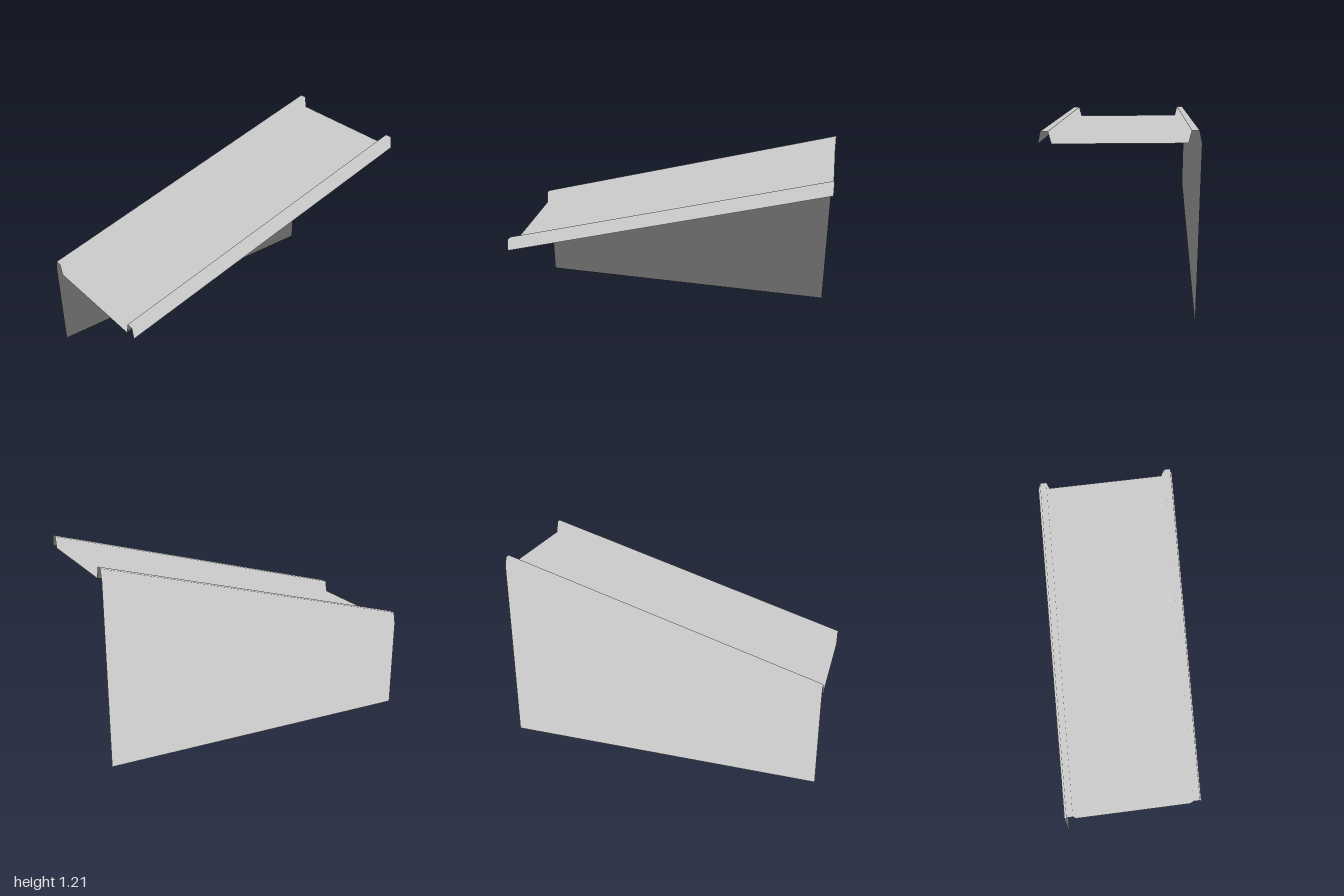
import * as THREE from 'three';

// Back end of the sheet is shifted sideways and raised relative to the front end.
const FRONT_Z = 1, BACK_Z = -1, SHIFT_X = 0.084, RISE = 0.571;
const EAVE = 0.573, CREST = 0.643;

// Sweeps an open cross-section [x, y] from front to back as a thin folded sheet.
// Points on the ground (y = 0) stay on the ground at the back.
function sheet(name, profile, material) {
  const front = ([x, y]) => [x, y, FRONT_Z];
  const back = ([x, y]) => [x + SHIFT_X, y === 0 ? 0 : y + RISE, BACK_Z];
  const positions = [], normals = [];
  for (let i = 0; i < profile.length - 1; i++) {
    const a = front(profile[i]), b = front(profile[i + 1]);
    const c = back(profile[i + 1]), d = back(profile[i]);
    for (const corner of [a, b, c, a, c, d]) {
      positions.push(...corner);
      normals.push(0, 1, 0); // one even tone over the whole folded sheet
    }
  }
  const geometry = new THREE.BufferGeometry();
  geometry.setAttribute('position', new THREE.Float32BufferAttribute(positions, 3));
  geometry.setAttribute('normal', new THREE.Float32BufferAttribute(normals, 3));
  const mesh = new THREE.Mesh(geometry, material);
  mesh.name = name;
  return mesh;
}

// Raised trapezoid rib, starting at x
const rib = (x) => [[x, EAVE], [x + 0.016, CREST], [x + 0.056, CREST], [x + 0.071, EAVE]];

export function createModel() {
  const metal = new THREE.MeshStandardMaterial({ color: 0xcccccc, side: THREE.DoubleSide });
  metal.name = 'light grey metal';

  const model = new THREE.Group();
  model.name = 'slopedRoofPanel';
  model.add(
    sheet('roofPan', [[-0.4, EAVE], [0.315, EAVE]], metal),
    sheet('rightRib', rib(-0.471), metal),
    sheet('leftRib', rib(0.315), metal),
    // wall from the outer edge of the right rib down to the ground
    sheet('sideWall', [[-0.471, 0], [-0.471, EAVE]], metal),
  );
  return model;
}
